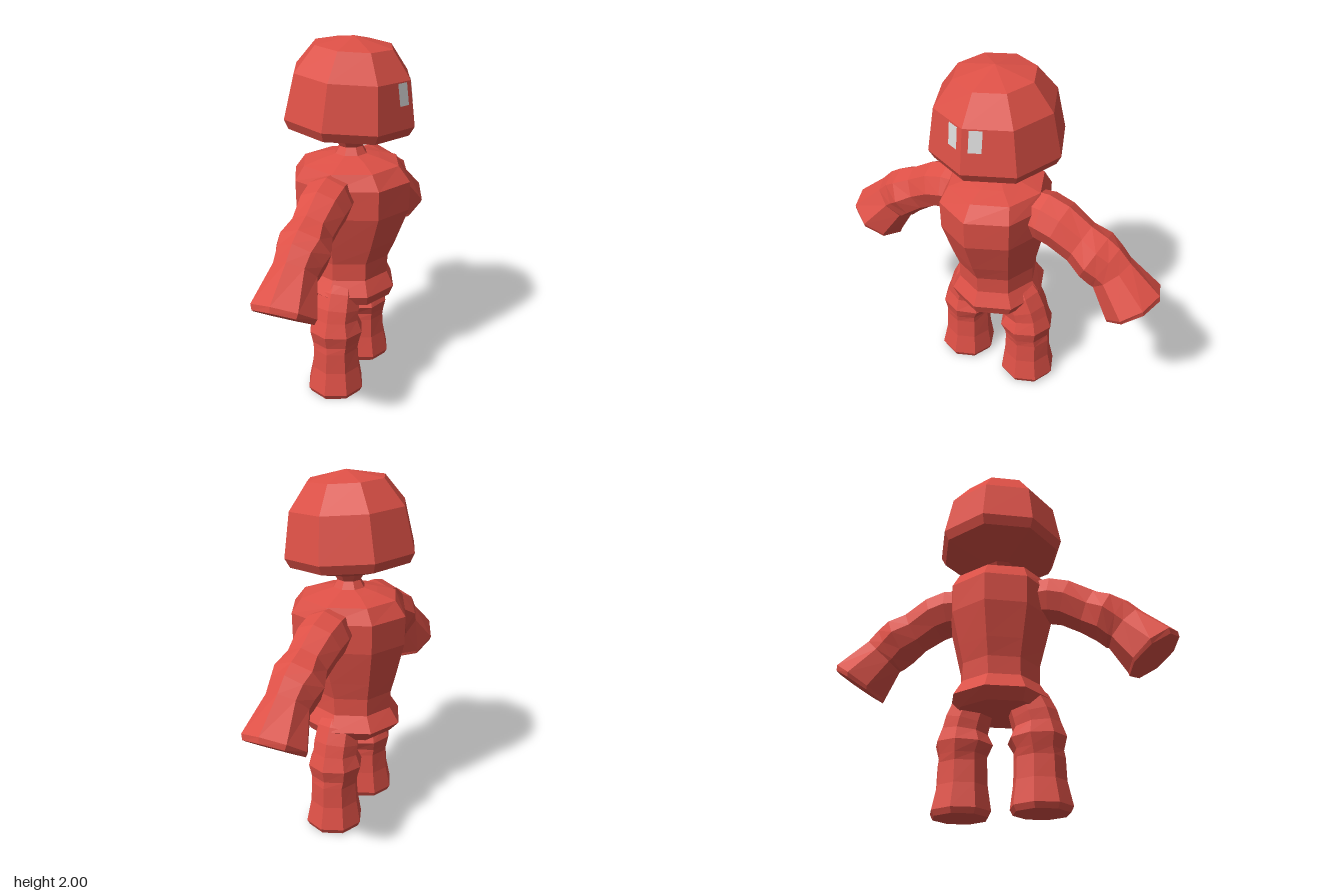
import * as THREE from 'three';

const red = new THREE.MeshStandardMaterial({ color: 0xdd5046, flatShading: true });
red.name = 'red';
const paleGrey = new THREE.MeshStandardMaterial({ color: 0xdcdcdc, side: THREE.DoubleSide });
paleGrey.name = 'paleGrey';

const SIDES = 8;

// Eight-sided loft, bottom to top. Ring: [x, y, z, radiusX, radiusZ, tilt about x in degrees]
function loft(name, rings) {
  const pos = [], index = [];
  for (const [x, y, z, rx, rz, tilt = 0] of rings) {
    const t = THREE.MathUtils.degToRad(tilt);
    for (let j = 0; j < SIDES; j++) {
      const a = (j / SIDES) * Math.PI * 2;
      const d = rz * Math.cos(a);
      pos.push(x + rx * Math.sin(a), y - d * Math.sin(t), z + d * Math.cos(t));
    }
  }
  for (let i = 0; i < rings.length - 1; i++) {
    for (let j = 0; j < SIDES; j++) {
      const a = i * SIDES + j, b = i * SIDES + (j + 1) % SIDES;
      index.push(a, b, b + SIDES, a, b + SIDES, a + SIDES);
    }
  }
  // flat end caps
  const top = (rings.length - 1) * SIDES;
  for (let j = 1; j < SIDES - 1; j++) {
    index.push(0, j + 1, j, top, top + j, top + j + 1);
  }
  const indexed = new THREE.BufferGeometry();
  indexed.setAttribute('position', new THREE.Float32BufferAttribute(pos, 3));
  indexed.setIndex(index);
  const geometry = indexed.toNonIndexed();
  geometry.computeVertexNormals();
  const mesh = new THREE.Mesh(geometry, red);
  mesh.name = name;
  return mesh;
}

const mirrorZ = (rings, s) => rings.map(([x, y, z, rx, rz, t]) => [x, y, s * z, rx, rz, s * t]);

// Head radius on the sloping face wall
const wallRadius = (y) => THREE.MathUtils.mapLinear(y, 1.575, 1.815, 0.367, 0.322);

// Thin eye patch lying on one of the two facets beside the nose line
function eye(side) {
  const zs = side > 0 ? [0.095, 0.033] : [-0.033, -0.095];
  const point = (z, y) => [wallRadius(y) - Math.abs(z) * Math.tan(Math.PI / 8) + 0.004, y, z];
  const [a, b] = zs;
  const geometry = new THREE.BufferGeometry();
  geometry.setAttribute('position', new THREE.Float32BufferAttribute(
    [point(a, 1.695), point(b, 1.695), point(b, 1.81), point(a, 1.81)].flat(), 3));
  geometry.setIndex([0, 1, 2, 0, 2, 3]);
  geometry.computeVertexNormals();
  const mesh = new THREE.Mesh(geometry, paleGrey);
  mesh.name = 'eye';
  return mesh;
}

export function createModel() {
  const model = new THREE.Group();
  model.name = 'figure';

  // Torso and neck
  model.add(loft('torso', [
    [-0.01, 0.53, 0, 0.12, 0.12],
    [-0.01, 0.545, 0, 0.245, 0.24],
    [-0.025, 0.605, 0, 0.285, 0.275],
    [-0.018, 0.69, 0, 0.237, 0.225],
    [-0.018, 0.79, 0, 0.24, 0.225],
    [-0.01, 0.89, 0, 0.275, 0.25],
    [0.003, 1.085, 0, 0.335, 0.298],
    [0.003, 1.245, 0, 0.338, 0.302],
    [0, 1.327, 0, 0.275, 0.265],
    [0, 1.357, 0, 0.17, 0.155],
    [0, 1.375, 0, 0.09, 0.09],
    [0, 1.415, 0, 0.065, 0.065],
    [0, 1.47, 0, 0.1, 0.1],
  ]));

  // Head, nodding slightly towards the eyes
  const head = new THREE.Group();
  head.name = 'head';
  const nod = new THREE.Group();
  nod.position.y = -1.65;
  nod.add(loft('skull', [
    [0, 1.45, 0, 0.085, 0.085],
    [0, 1.523, 0, 0.34, 0.34],
    [0, 1.575, 0, 0.367, 0.367],
    [0, 1.815, 0, 0.322, 0.322],
    [0, 1.955, 0, 0.215, 0.215],
    [0, 2.0, 0, 0.001, 0.001],
  ]), eye(1), eye(-1));
  head.add(nod);
  head.position.set(-0.005, 1.65, 0);
  head.rotation.z = -0.065;
  model.add(head);

  // Limbs, from hand to shoulder and from foot to hip
  const arm = [
    [-0.01, 0.79, 0.84, 0.165, 0.168, -35],
    [-0.01, 0.815, 0.835, 0.176, 0.172, -37],
    [-0.01, 0.965, 0.7, 0.118, 0.137, -46],
    [-0.01, 1.0, 0.66, 0.128, 0.148, -63],
    [-0.01, 1.045, 0.6, 0.15, 0.142, -66],
    [-0.01, 1.095, 0.51, 0.118, 0.13, -66],
    [-0.01, 1.165, 0.39, 0.135, 0.134, -72],
    [-0.01, 1.19, 0.3, 0.138, 0.137, -85],
    [-0.01, 1.195, 0.2, 0.12, 0.125, -90],
  ];
  const leg = [
    [-0.008, 0, 0.215, 0.15, 0.15, 0],
    [-0.008, 0.03, 0.215, 0.165, 0.166, 0],
    [-0.008, 0.16, 0.21, 0.14, 0.142, 0],
    [-0.008, 0.28, 0.21, 0.132, 0.138, 0],
    [-0.01, 0.32, 0.207, 0.14, 0.134, 0],
    [-0.01, 0.385, 0.2, 0.156, 0.16, -3],
    [-0.01, 0.455, 0.2, 0.13, 0.132, -8],
    [-0.01, 0.51, 0.185, 0.132, 0.13, -15],
    [-0.01, 0.59, 0.155, 0.125, 0.12, -20],
    [-0.01, 0.66, 0.13, 0.1, 0.09, -20],
  ];
  for (const s of [1, -1]) {
    model.add(loft('arm', mirrorZ(arm, s)), loft('leg', mirrorZ(leg, s)));
  }
  return model;
}
